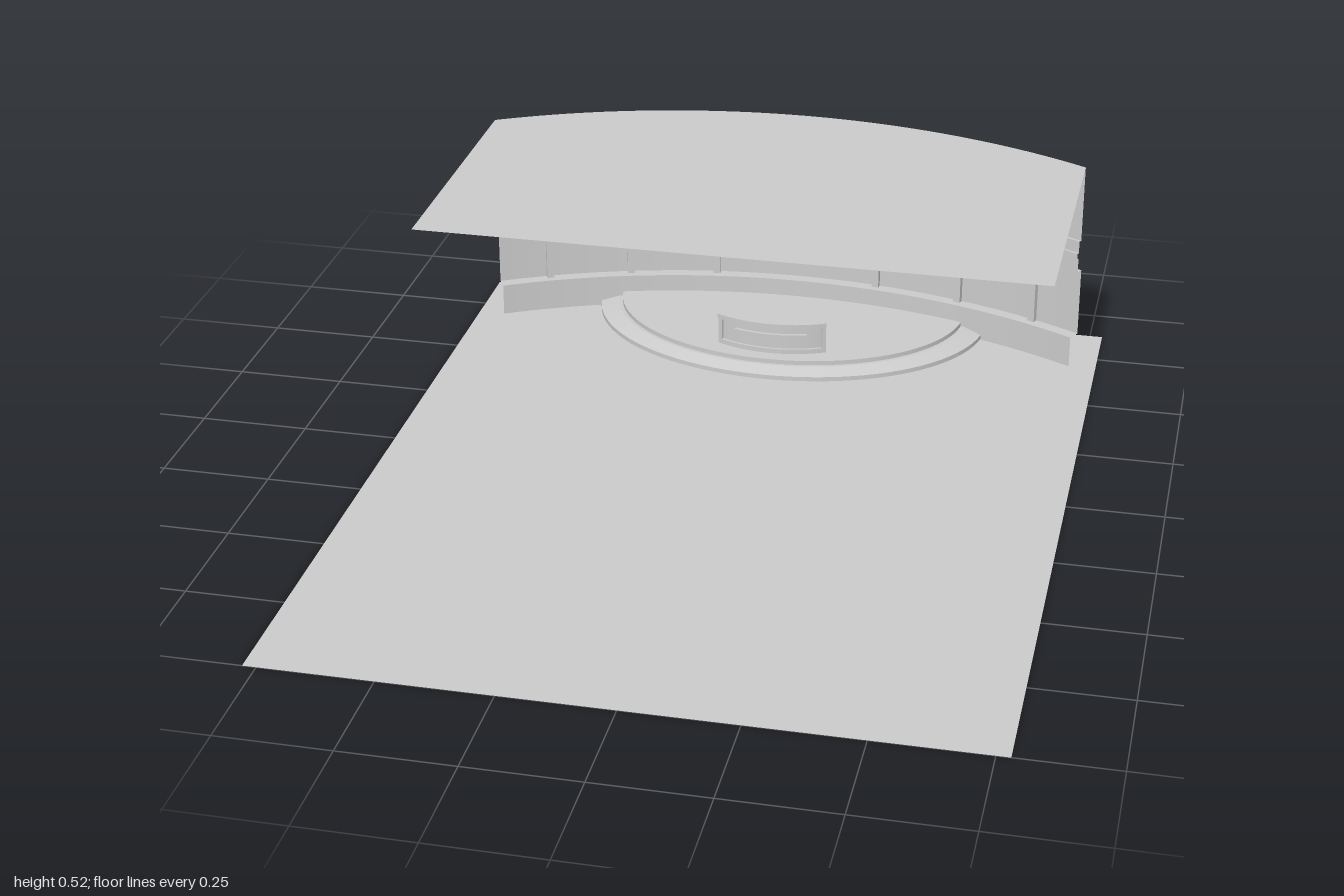
import * as THREE from 'three';

const material = new THREE.MeshStandardMaterial({ color: 0xcccccc, side: THREE.DoubleSide });
const WALL_Z = 0.6;                               // centre of the wall curve
const HALF = THREE.MathUtils.degToRad(28.9);      // half angle of the wall

function add(parent, name, geometry, x = 0, y = 0, z = 0) {
  const mesh = new THREE.Mesh(geometry, material);
  mesh.name = name;
  mesh.position.set(x, y, z);
  parent.add(mesh);
  return mesh;
}

// One smooth band per profile step keeps the edges between steps sharp
function bands(parent, name, profile, segments, start, length) {
  for (let i = 0; i < profile.length - 1; i++) {
    const points = [profile[i], profile[i + 1]].map(([r, y]) => new THREE.Vector2(r, y));
    add(parent, name, new THREE.LatheGeometry(points, segments, start, length));
  }
}

// Horizontal sheet from a plan shape, whose y is -z
const sheet = (shape) => new THREE.ShapeGeometry(shape, 32).rotateX(-Math.PI / 2);

// Curved strip in plan, bulging to the front
function arcSlab(radius, depth, halfWidth, height) {
  const a = Math.asin(halfWidth / radius);
  const shape = new THREE.Shape();
  shape.absarc(0, 0, radius, -Math.PI / 2 - a, -Math.PI / 2 + a, false);
  shape.absarc(0, 0, radius - depth, -Math.PI / 2 + a, -Math.PI / 2 - a, true);
  shape.closePath();
  return new THREE.ExtrudeGeometry(shape, { depth: height, bevelEnabled: false, curveSegments: 16 })
    .rotateX(-Math.PI / 2);
}

export function createModel() {
  const model = new THREE.Group();
  model.name = 'studioSet';

  // Floor
  add(model, 'floor', new THREE.PlaneGeometry(1.56, 1.88).rotateX(-Math.PI / 2), 0, 0, 0.06);

  // Curved back wall: plinth, panel band, grooved cornice, header
  const wall = new THREE.Group();
  wall.name = 'backWall';
  wall.position.z = WALL_Z;
  model.add(wall);
  bands(wall, 'wallBand', [
    [1.48, 0.002], [1.48, 0.08], [1.51, 0.08], [1.51, 0.25], [1.495, 0.25], [1.495, 0.285],
    [1.489, 0.285], [1.489, 0.3], [1.495, 0.3], [1.495, 0.33], [1.502, 0.33], [1.502, 0.52],
  ], 32, Math.PI - HALF, HALF * 2);

  // Upright strips on both faces of the panel band
  for (const side of [-1, 1]) {
    for (const x of [0.205, 0.42, 0.615]) {
      const angle = side * Math.asin(x / 1.51);
      const strip = add(wall, 'wallStrip', new THREE.BoxGeometry(0.018, 0.21, 0.022),
        Math.sin(angle) * 1.508, 0.145, -Math.cos(angle) * 1.508);
      strip.rotation.y = -angle;
    }
  }

  // Flat ceiling, curved along the wall
  const ceiling = new THREE.Shape();
  ceiling.moveTo(-0.725, 0.035);
  ceiling.lineTo(0.725, 0.035);
  ceiling.absarc(0, -WALL_Z, 1.502, Math.PI / 2 - HALF, Math.PI / 2 + HALF, false);
  ceiling.closePath();
  add(model, 'ceiling', sheet(ceiling), 0, 0.52, 0);

  // Half-oval stage with a sloping rim
  const stage = new THREE.Group();
  stage.name = 'stage';
  model.add(stage);
  const rim = new THREE.Group();
  rim.name = 'stageRim';
  rim.position.z = -0.85;
  rim.scale.z = 0.38 / 0.49;
  stage.add(rim);
  bands(rim, 'stageStep', [[0.49, 0.004], [0.49, 0.015], [0.445, 0.026], [0.435, 0.026], [0.435, 0.037]],
    48, -Math.PI / 2, Math.PI);

  // Stage sheets run back to a point behind the wall
  for (const [radius, y] of [[0.49, 0.006], [0.435, 0.037]]) {
    const top = new THREE.Shape();
    top.absellipse(0, 0.85, radius, radius * 0.38 / 0.49, Math.PI, Math.PI * 2, false);
    top.lineTo(0, 1);
    top.closePath();
    add(stage, 'stageTop', sheet(top), 0, y, 0);
  }

  // Curved presenter desk
  const desk = new THREE.Group();
  desk.name = 'desk';
  desk.position.set(0, 0, -0.84);
  model.add(desk);
  add(desk, 'deskBody', arcSlab(0.288, 0.03, 0.125, 0.07), 0, 0.037, 0);
  add(desk, 'deskTop', arcSlab(0.3, 0.047, 0.135, 0.012), 0, 0.106, 0);
  add(desk, 'deskFoot', arcSlab(0.294, 0.036, 0.13, 0.012), 0, 0.037, 0);
  add(desk, 'deskFrontPanel', arcSlab(0.296, 0.01, 0.09, 0.028), 0, 0.06, 0);
  for (const side of [-1, 1]) {
    const end = add(desk, 'deskEnd', new THREE.BoxGeometry(0.01, 0.07, 0.042),
      side * 0.12, 0.072, 0.245);
    end.rotation.y = side * 0.45;
  }

  return model;
}
